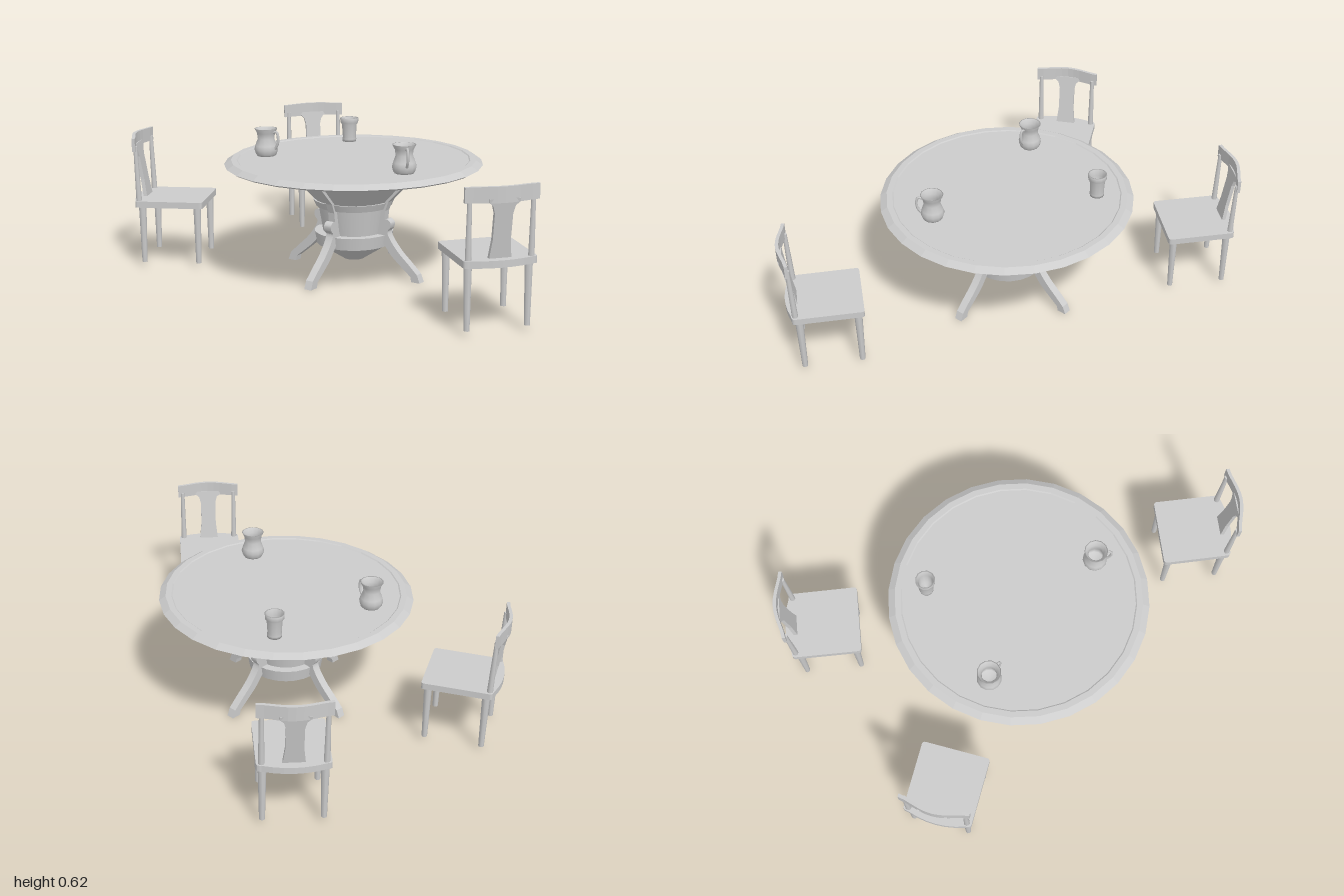
import * as THREE from 'three';

const grey = new THREE.MeshStandardMaterial({ color: 0xcccccc, side: THREE.DoubleSide });
const flat = new THREE.MeshStandardMaterial({ color: 0xcccccc, side: THREE.DoubleSide, flatShading: true });
const V2 = (p) => new THREE.Vector2(p[0], p[1]);

function add(parent, name, geometry, x = 0, y = 0, z = 0, material = flat) {
  const m = new THREE.Mesh(geometry, material);
  m.name = name;
  m.position.set(x, y, z);
  parent.add(m);
  return m;
}

const lathe = (pts, sides) => new THREE.LatheGeometry(pts.map(V2), sides);

// Extrudes a shape, centred on its thickness
function slab(shape, depth) {
  const g = new THREE.ExtrudeGeometry(shape, { depth, bevelEnabled: false, curveSegments: 6 });
  return g.translate(0, 0, -depth / 2);
}

// Straight band of a turned body
function band(parent, name, y0, r0, y1, r1, sides = 24) {
  add(parent, name, new THREE.CylinderGeometry(r1, r0, y1 - y0, sides), 0, (y0 + y1) / 2, 0, grey);
}

function createTable() {
  const t = new THREE.Group();
  t.name = 'table';

  // Top with sloping rim, raised ring and slightly sunk surface
  add(t, 'tableTop', lathe([
    [0, 0.482], [0.545, 0.48], [0.556, 0.487], [0.527, 0.506], [0.502, 0.506], [0.497, 0.502], [0, 0.502],
  ], 28));

  // Turned pedestal
  band(t, 'pedestalCollar', 0.462, 0.305, 0.484, 0.315);
  band(t, 'pedestalBowl', 0.325, 0.165, 0.463, 0.295);
  band(t, 'pedestalUpperBand', 0.3, 0.165, 0.33, 0.178);
  band(t, 'pedestalStem', 0.185, 0.135, 0.302, 0.155);
  band(t, 'pedestalLowerBand', 0.133, 0.163, 0.187, 0.172);
  band(t, 'pedestalTip', 0.06, 0.045, 0.134, 0.16);

  // Scrolled leg profile: radius across, height up
  const leg = new THREE.Shape();
  leg.moveTo(0.13, 0.2);
  leg.splineThru([
    [0.15, 0.22], [0.158, 0.247], [0.18, 0.259], [0.199, 0.245], [0.197, 0.222], [0.184, 0.203],
    [0.2, 0.168], [0.24, 0.12], [0.29, 0.075], [0.333, 0.035],
  ].map(V2));
  leg.lineTo(0.347, 0);
  leg.lineTo(0.305, 0);
  leg.lineTo(0.3, 0.023);
  leg.splineThru([[0.25, 0.062], [0.205, 0.1], [0.17, 0.142], [0.13, 0.185]].map(V2));

  // Brace rising from leg to table top
  const brace = new THREE.Shape([
    [0.13, 0.2], [0.16, 0.2], [0.172, 0.295], [0.187, 0.335], [0.335, 0.484], [0.285, 0.484], [0.14, 0.32],
  ].map(V2));

  for (let i = 0; i < 4; i++) {
    const arm = new THREE.Group();
    arm.name = 'tableLeg' + (i + 1);
    arm.rotation.y = i * Math.PI / 2;
    add(arm, 'scrolledLeg', slab(leg, 0.035));
    add(arm, 'brace', slab(brace, 0.032));
    t.add(arm);
  }
  return t;
}

function createChair() {
  const c = new THREE.Group();

  // Seat with rounded corners and bowed back edge
  const s = new THREE.Shape();
  s.moveTo(-0.147, -0.135);
  s.quadraticCurveTo(-0.148, -0.152, -0.125, -0.152);
  s.quadraticCurveTo(0, -0.195, 0.125, -0.152);
  s.quadraticCurveTo(0.148, -0.152, 0.147, -0.135);
  s.lineTo(0.148, 0.135);
  s.quadraticCurveTo(0.148, 0.148, 0.135, 0.149);
  s.lineTo(-0.135, 0.149);
  s.quadraticCurveTo(-0.148, 0.148, -0.148, 0.135);
  const seat = slab(s, 0.028).rotateX(Math.PI / 2);
  add(c, 'seat', seat, 0, 0.285, 0);

  for (const side of [-1, 1]) {
    for (const end of [-1, 1]) {
      add(c, end > 0 ? 'frontLeg' : 'backLeg',
        new THREE.CylinderGeometry(0.017, 0.012, 0.255, 8), side * 0.122, 0.1475, end * 0.122, grey);
    }
    const post = add(c, 'backPost', new THREE.CylinderGeometry(0.009, 0.013, 0.25, 8), side * 0.126, 0.415, -0.139, grey);
    post.rotation.x = -0.03;
  }

  // Crest rail, bowed backwards
  const crest = new THREE.BoxGeometry(0.295, 0.062, 0.014, 10, 1, 1);
  const p = crest.attributes.position;
  for (let i = 0; i < p.count; i++) {
    const u = p.getX(i) / 0.1475;
    p.setZ(i, p.getZ(i) - 0.03 * Math.cos(u * Math.PI / 2) ** 1.5);
    if (p.getY(i) > 0) p.setY(i, p.getY(i) - 0.003 * u * u);
  }
  crest.computeVertexNormals();
  add(c, 'crestRail', crest, 0, 0.55, -0.145);

  // Splat, flared where it meets the crest
  const half = [[0.045, 0], [0.036, 0.08], [0.036, 0.185], [0.044, 0.215], [0.062, 0.232], [0.062, 0.245]];
  const splat = new THREE.Shape([...half, ...half.map(([x, y]) => [-x, y]).reverse()].map(V2));
  add(c, 'splat', slab(splat, 0.016), 0, 0.294, -0.13).rotation.x = -0.16;
  return c;
}

// Open vessel with thin wall, standing on the table
function createVessel(name, profile, x, z, handleAngle) {
  const v = new THREE.Group();
  v.name = name;
  v.position.set(x, 0.502, z);
  add(v, 'body', lathe(profile, 12), 0, 0, 0, grey);
  if (handleAngle !== undefined) {
    const path = new THREE.CatmullRomCurve3(
      [[0.04, 0.103], [0.058, 0.108], [0.066, 0.085], [0.062, 0.055], [0.048, 0.032]]
        .map(([r, y]) => new THREE.Vector3(r, y, 0)));
    add(v, 'handle', new THREE.TubeGeometry(path, 12, 0.006, 6), 0, 0, 0, grey);
    v.rotation.y = handleAngle;
  }
  return v;
}

export function createModel() {
  const model = new THREE.Group();
  model.name = 'diningSet';

  const table = createTable();
  table.position.set(-0.036, 0, 0.119);
  model.add(table);

  // Chairs: name, x, z, facing direction
  for (const [name, x, z, dx, dz] of [
    ['frontRightChair', -0.8, 0.407, 0.89, -0.46],
    ['backRightChair', -0.64, -0.475, 0.75, 0.66],
    ['frontLeftChair', 0.785, 0.428, -0.76, -0.65],
  ]) {
    const chair = createChair();
    chair.name = name;
    chair.position.set(x, 0, z);
    chair.rotation.y = Math.atan2(dx, dz);
    model.add(chair);
  }

  const jug = [[0, 0], [0.04, 0], [0.046, 0.008], [0.052, 0.028], [0.047, 0.045], [0.036, 0.075],
    [0.04, 0.1], [0.05, 0.119], [0.045, 0.119], [0.034, 0.098], [0.031, 0.075], [0.042, 0.04], [0.04, 0.012], [0, 0.01]];
  const cup = [[0, 0], [0.031, 0], [0.032, 0.012], [0.03, 0.02], [0.034, 0.078], [0.041, 0.088],
    [0.042, 0.108], [0.036, 0.108], [0.03, 0.08], [0.026, 0.015], [0, 0.012]];
  model.add(createVessel('rightJug', jug, -0.39, 0.275, 0));
  model.add(createVessel('leftJug', jug, 0.302, 0.25, -Math.PI / 4));
  model.add(createVessel('cup', cup, -0.273, -0.195));
  return model;
}
